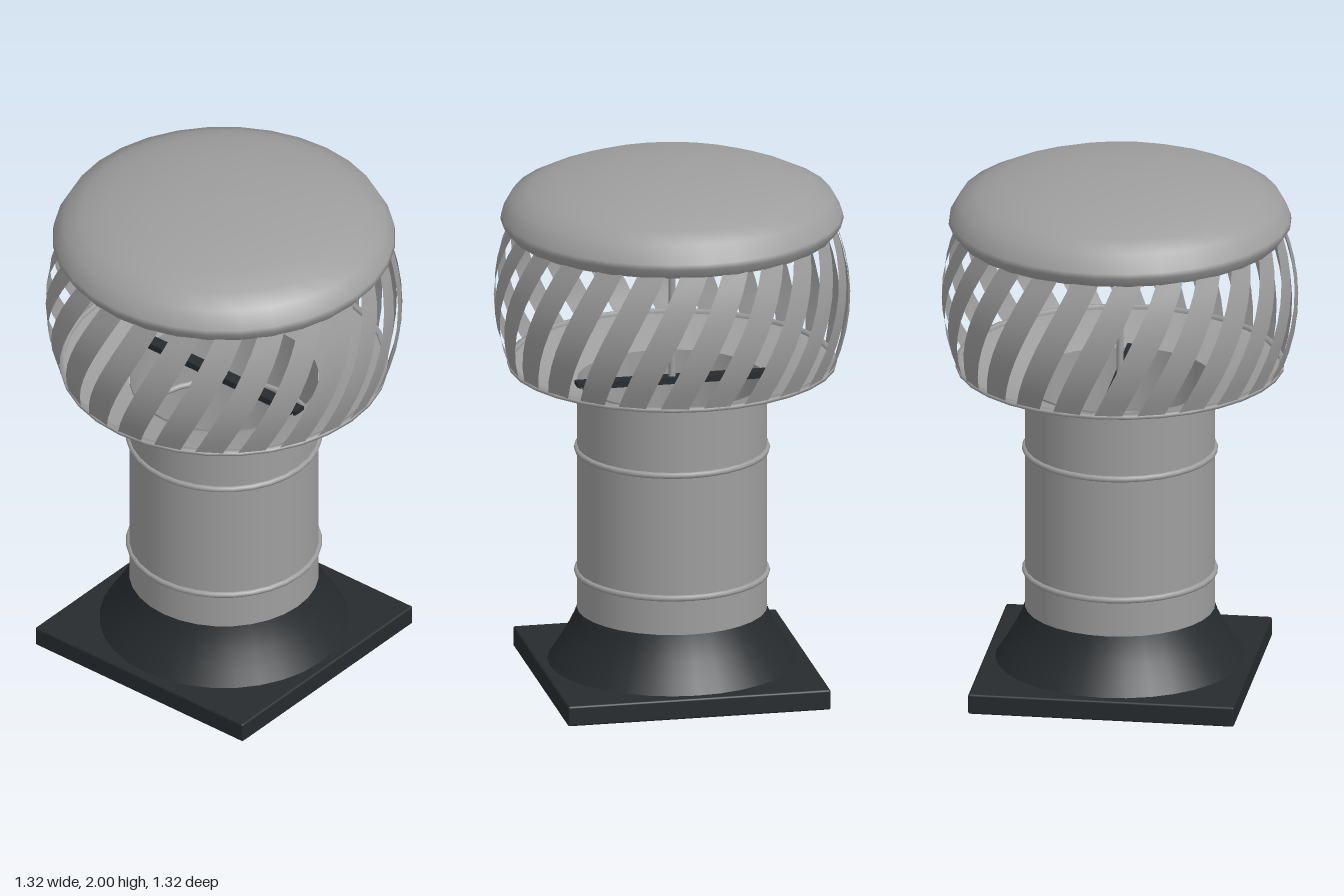
import * as THREE from 'three';
import { RoundedBoxGeometry } from 'three/addons/geometries/RoundedBoxGeometry.js';

const grey = new THREE.MeshStandardMaterial({ color: 0x9e9e9e });
const greyThin = new THREE.MeshStandardMaterial({ color: 0x9e9e9e, side: THREE.DoubleSide });
const dark = new THREE.MeshStandardMaterial({ color: 0x272b2e });

function add(parent, name, geometry, material, y = 0) {
  const mesh = new THREE.Mesh(geometry, material);
  mesh.name = name;
  mesh.position.y = y;
  parent.add(mesh);
  return mesh;
}

// Profile of [radius, height] pairs, listed from bottom to top
function lathe(profile, sides = 32) {
  return new THREE.LatheGeometry(profile.map(([r, y]) => new THREE.Vector2(r, y)), sides);
}

// Bowed, slanted strip following the drum outline, flat across its width
function bladeGeometry() {
  const bottom = 1.24, top = 1.775, width = THREE.MathUtils.degToRad(9.7);
  const twist = THREE.MathUtils.degToRad(22.5);
  const geometry = new THREE.PlaneGeometry(1, 1, 1, 8);
  const p = geometry.attributes.position;
  for (let i = 0; i < p.count; i++) {
    const v = p.getY(i);
    const angle = p.getX(i) * width + v * twist;
    const radius = 0.664 - 0.22 * v * v;
    p.setXYZ(i, radius * Math.sin(angle), bottom + (v + 0.5) * (top - bottom), radius * Math.cos(angle));
  }
  geometry.computeVertexNormals();
  return geometry;
}

export function createModel() {
  const model = new THREE.Group();
  model.name = 'roofVentilator';

  // Roof flashing
  add(model, 'basePlate', new RoundedBoxGeometry(1, 0.078, 1, 2, 0.008), dark, 0.039);
  add(model, 'baseFlare', lathe([
    [0.47, 0.07], [0.43, 0.13], [0.395, 0.19], [0.37, 0.24], [0.355, 0.282],
  ]), dark);

  // Open pipe with two raised beads
  add(model, 'pipe', new THREE.CylinderGeometry(0.354, 0.354, 0.92, 32, 1, true), greyThin, 0.71);
  for (const y of [0.425, 0.905]) {
    add(model, 'pipeBead', new THREE.TorusGeometry(0.354, 0.012, 8, 32).rotateX(Math.PI / 2), grey, y);
  }

  // Bearing bar and shaft inside the head
  add(model, 'bearingBar', new THREE.BoxGeometry(0.73, 0.025, 0.05), dark, 1.17);
  add(model, 'shaft', new THREE.CylinderGeometry(0.013, 0.013, 0.78, 12), grey, 1.57);

  // Rotating head
  const head = new THREE.Group();
  head.name = 'turbineHead';
  model.add(head);
  add(head, 'lowerCollar', lathe([
    [0.355, 1.163], [0.42, 1.187], [0.54, 1.224], [0.60, 1.235],
  ]), greyThin);
  add(head, 'lowerRim', lathe([
    [0.595, 1.234], [0.614, 1.236], [0.614, 1.248], [0.595, 1.252], [0.595, 1.234],
  ]), grey);

  const blade = bladeGeometry();
  const count = 24;
  for (let i = 0; i < count; i++) {
    add(head, 'blade', blade, greyThin).rotation.y = (i / count) * Math.PI * 2;
  }

  // Domed cap with a rolled edge and a closed underside
  add(head, 'cap', lathe([
    [0.612, 1.762], [0.639, 1.80], [0.636, 1.82], [0.60, 1.885], [0.53, 1.92],
    [0.44, 1.955], [0.28, 1.984], [0.14, 1.996], [0, 2.0],
  ]), grey);
  add(head, 'capUnderside', lathe([[0, 1.764], [0.612, 1.762]]), greyThin);

  return model;
}
